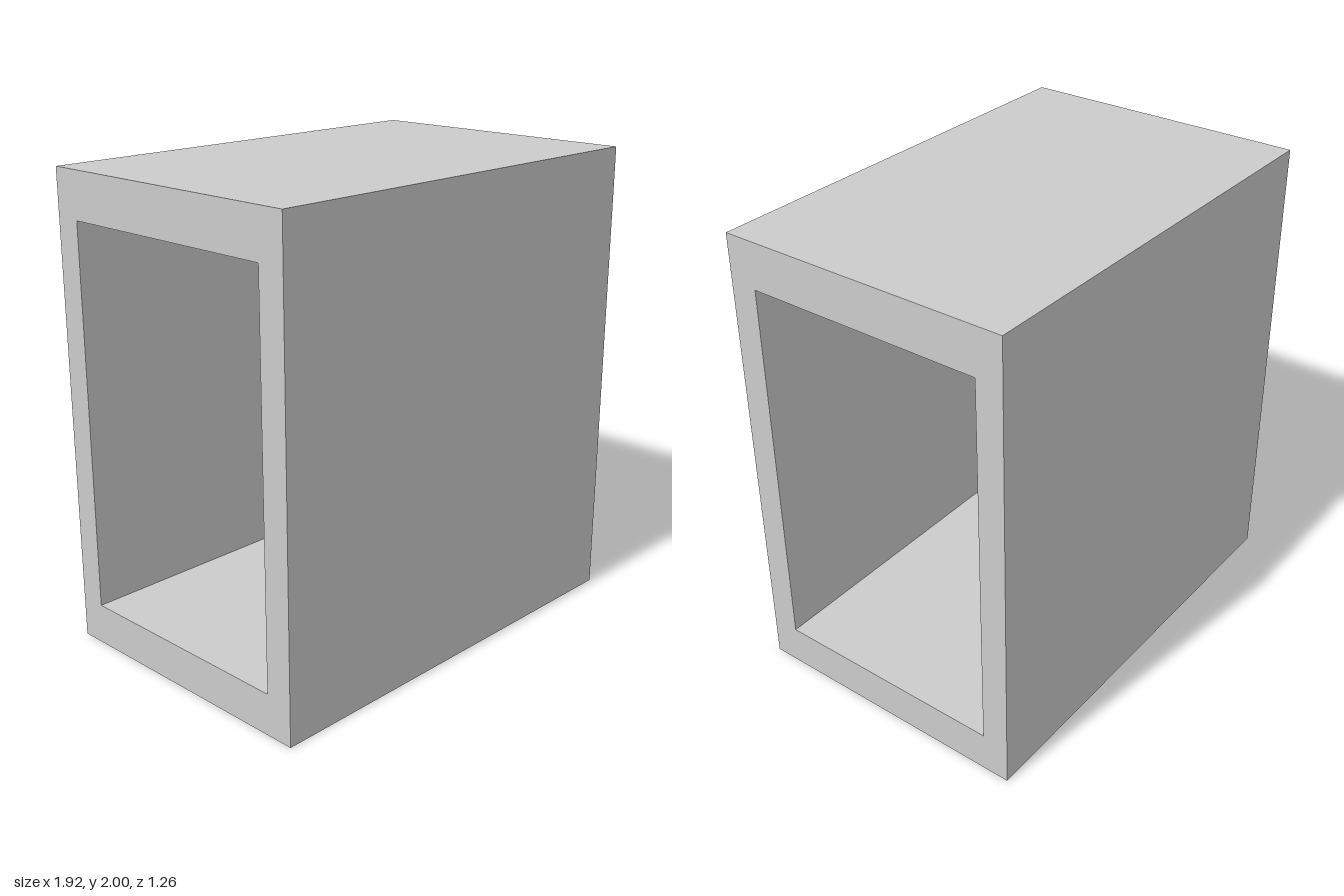
import * as THREE from 'three';

// Rectangle outline from two opposite corners
function rectangle(Type, x0, y0, x1, y1) {
  const path = new Type();
  path.moveTo(x0, y0);
  path.lineTo(x1, y0);
  path.lineTo(x1, y1);
  path.lineTo(x0, y1);
  path.closePath();
  return path;
}

export function createModel() {
  const width = 1.92, height = 2, halfDepth = 0.628;
  const group = new THREE.Group();
  group.name = 'hollowBox';

  // Rectangular sleeve, open at both x ends, with thicker top and bottom walls
  const profile = rectangle(THREE.Shape, -halfDepth, 0, halfDepth, height);
  profile.holes.push(rectangle(THREE.Path, -0.508, 0.175, 0.513, 1.804));

  const geometry = new THREE.ExtrudeGeometry(profile, { depth: width, bevelEnabled: false });
  geometry.translate(0, 0, -width / 2);
  geometry.rotateY(Math.PI / 2);

  const sleeve = new THREE.Mesh(geometry, new THREE.MeshStandardMaterial({ color: 0xcccccc }));
  sleeve.name = 'sleeve';
  group.add(sleeve);
  return group;
}
